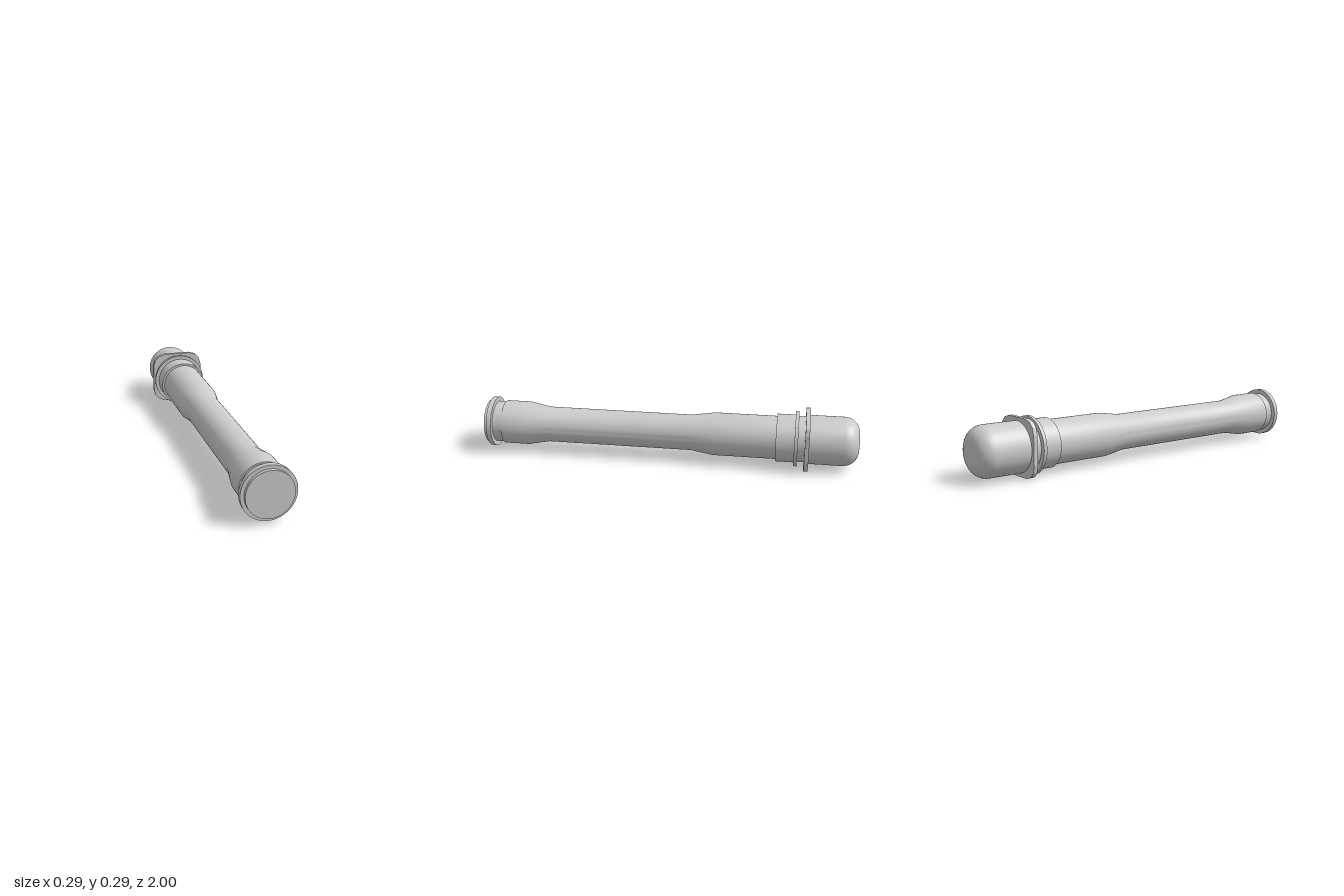
import * as THREE from 'three';
import { toCreasedNormals } from 'three/addons/utils/BufferGeometryUtils.js';

const AXIS_Y = 0.147;

export function createModel() {
  const model = new THREE.Group();
  model.name = 'handleWithCap';
  const material = new THREE.MeshStandardMaterial({ color: 0xcccccc });

  function add(name, geometry) {
    const mesh = new THREE.Mesh(geometry, material);
    mesh.name = name;
    mesh.position.y = AXIS_Y;
    model.add(mesh);
  }

  // Closed turned part along z; profile of [radius, z] with z increasing
  function turned(name, profile) {
    const first = profile[0], last = profile[profile.length - 1];
    const points = [[0, first[1]], ...profile, [0, last[1]]]
      .map(([r, z]) => new THREE.Vector2(r, z));
    const geometry = new THREE.LatheGeometry(points, 64);
    geometry.rotateX(Math.PI / 2);
    add(name, toCreasedNormals(geometry, 0.5));
  }

  const disc = (name, r, z0, z1) => turned(name, [[r, z0], [r, z1]]);

  // Rounded cap at the back end
  const capRadius = 0.129, round = 0.08;
  const cap = [];
  for (let i = 0; i <= 10; i++) {
    const a = (i / 10) * Math.PI / 2;
    cap.push([capRadius - round + round * Math.sin(a), -1 + round - round * Math.cos(a)]);
  }
  cap.push([capRadius, -0.74]);
  turned('roundedCap', cap);

  // Square plate with faceted corners
  const corner = [[0.146, 0.075], [0.135, 0.112], [0.112, 0.135], [0.075, 0.146]];
  const outline = [];
  for (let q = 0; q < 4; q++) {
    for (const [x, y] of corner) {
      outline.push(new THREE.Vector2(x, y).rotateAround(new THREE.Vector2(), q * Math.PI / 2));
    }
  }
  const plate = new THREE.ExtrudeGeometry(new THREE.Shape(outline), { depth: 0.022, bevelEnabled: false });
  plate.translate(0, 0, -0.742);
  add('squarePlate', plate);

  // Collar and round flange
  disc('collarNeck', 0.121, -0.722, -0.68);
  disc('flange', 0.146, -0.684, -0.666);
  disc('collar', 0.126, -0.67, -0.57);

  // Waisted grip
  turned('grip', [
    [0.114, -0.575], [0.114, -0.24], [0.095, -0.12],
    [0.095, 0.66], [0.117, 0.775], [0.117, 0.907],
  ]);

  // Front end: groove, ring and end disc
  disc('frontGroove', 0.11, 0.9, 0.96);
  disc('frontRing', 0.134, 0.956, 0.982);
  disc('frontDisc', 0.116, 0.975, 1);

  return model;
}
